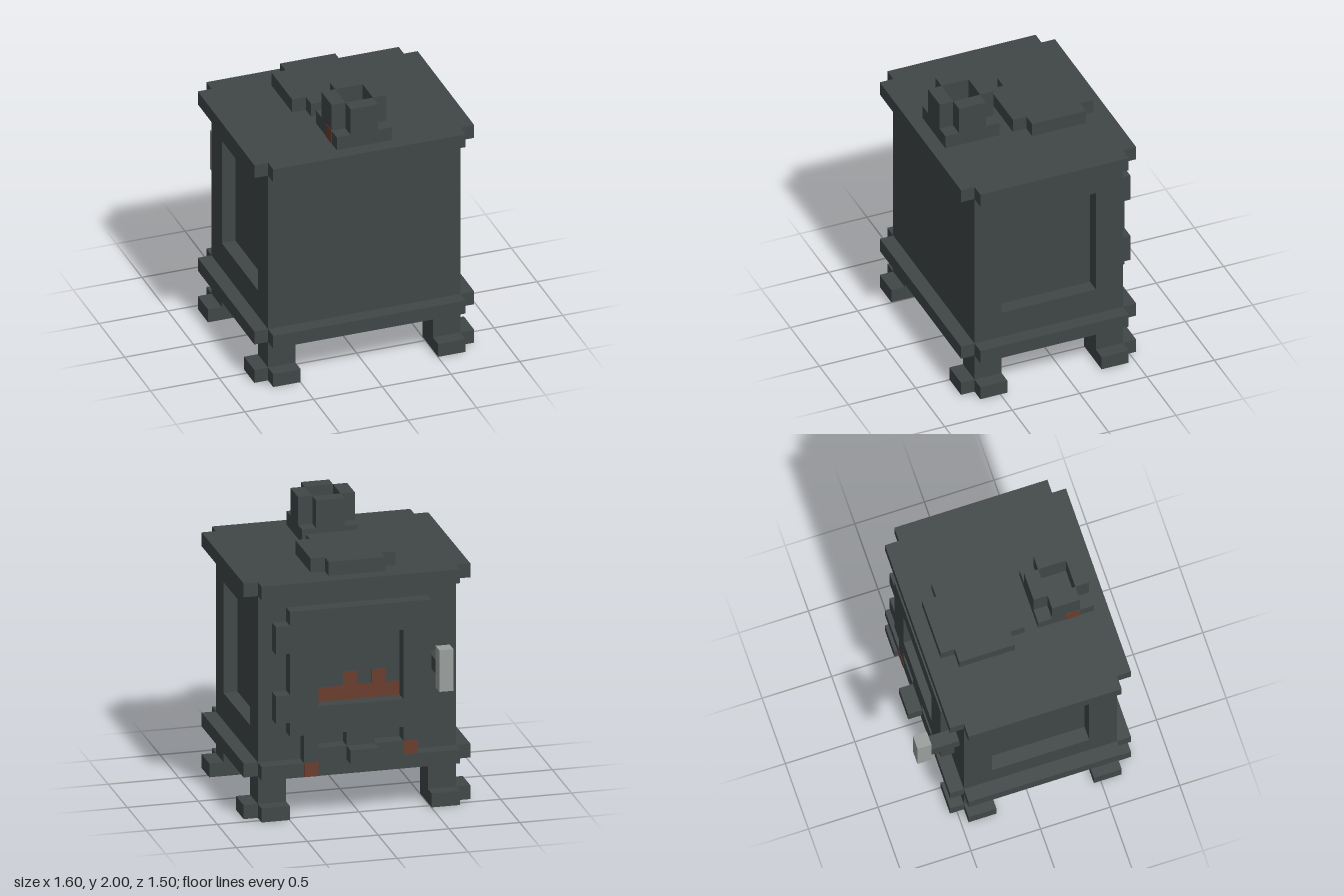
import * as THREE from 'three';

export function createModel() {
  const iron = new THREE.MeshStandardMaterial({ color: 0x404746 });
  iron.name = 'castIron';
  const steel = new THREE.MeshStandardMaterial({ color: 0x9a9f9c });
  steel.name = 'paleSteel';
  const ember = new THREE.MeshStandardMaterial({ color: 0x6b3c2e });
  ember.name = 'emberRust';

  const model = new THREE.Group();
  model.name = 'stove';

  const add = (name, geometry, material = iron) => {
    const mesh = new THREE.Mesh(geometry, material);
    mesh.name = name;
    model.add(mesh);
    return mesh;
  };

  // Box given by its limits on each axis
  const box = (name, [x0, x1], [y0, y1], [z0, z1], material) => {
    const g = new THREE.BoxGeometry(x1 - x0, y1 - y0, z1 - z0);
    g.translate((x0 + x1) / 2, (y0 + y1) / 2, (z0 + z1) / 2);
    return add(name, g, material);
  };

  const points = (list) => list.map(([x, y]) => new THREE.Vector2(x, y));
  const rect = (x0, x1, y0, y1) => [[x0, y0], [x1, y0], [x1, y1], [x0, y1]];

  // Rectangle with a square notch cut from every corner
  const notched = (x0, x1, y0, y1, n = 0.1) => [
    [x0 + n, y0], [x1 - n, y0], [x1 - n, y0 + n], [x1, y0 + n], [x1, y1 - n], [x1 - n, y1 - n],
    [x1 - n, y1], [x0 + n, y1], [x0 + n, y1 - n], [x0, y1 - n], [x0, y0 + n], [x0 + n, y0 + n],
  ];

  const extrude = (outline, holes, depth) => {
    const shape = new THREE.Shape(points(outline));
    shape.holes = holes.map((h) => new THREE.Path(points(h)));
    return new THREE.ExtrudeGeometry(shape, { depth, bevelEnabled: false });
  };

  // Horizontal slab from an outline in x and z
  const slab = (name, outline, y0, y1, holes = []) =>
    add(name, extrude(outline, holes, y1 - y0).rotateX(Math.PI / 2).translate(0, y1, 0));

  // Base and top plates
  slab('basePlate', notched(-0.8, 0.8, -0.55, 0.75), 0.3, 0.4);
  slab('topPlate', notched(-0.8, 0.8, -0.55, 0.75), 1.6, 1.7);

  // Firebox with a framed recess on both sides
  box('firebox', [-0.6, 0.6], [0.4, 1.6], [-0.45, 0.65]);
  for (const x of [-0.7, 0.6]) {
    const frame = extrude(rect(-0.65, 0.45, 0.4, 1.6), [rect(-0.45, 0.25, 0.6, 1.4)], 0.1);
    add('sideFrame', frame.rotateY(Math.PI / 2).translate(x, 0, 0));
  }

  // Legs with L-shaped feet and a rust spot beneath
  for (const sx of [-1, 1]) {
    for (const sz of [-1, 1]) {
      const px = (v) => [Math.min(sx * v[0], sx * v[1]), Math.max(sx * v[0], sx * v[1])];
      const pz = (v) => [0.1 + Math.min(sz * v[0], sz * v[1]), 0.1 + Math.max(sz * v[0], sz * v[1])];
      box('leg', px([0.5, 0.7]), [0, 0.3], pz([0.35, 0.55]));
      box('footSide', px([0.7, 0.8]), [0, 0.1], pz([0.35, 0.55]));
      box('footEnd', px([0.5, 0.7]), [0, 0.1], pz([0.55, 0.65]));
      box('footRust', px([0.6, 0.7]), [-0.003, 0.003], pz([0.45, 0.55]), ember);
    }
  }

  // Door with hinges, window and two vents
  const doorOutline = [
    [-0.5, 0.6], [-0.4, 0.6], [-0.4, 0.4], [0.4, 0.4], [0.4, 0.6], [0.5, 0.6],
    [0.5, 0.7], [0.6, 0.7], [0.6, 0.9], [0.5, 0.9], [0.5, 1.2], [0.6, 1.2],
    [0.6, 1.4], [0.5, 1.4], [0.5, 1.5], [-0.5, 1.5],
  ];
  const doorHoles = [
    rect(-0.3, 0.3, 0.8, 1.3),
    rect(-0.3, -0.1, 0.5, 0.6),
    rect(0.1, 0.3, 0.5, 0.6),
  ];
  add('door', extrude(doorOutline, doorHoles, 0.1).translate(0, 0, -0.55));
  box('ventLedge', [-0.1, 0.1], [0.4, 0.5], [-0.65, -0.55]);

  // Latch and handle
  box('latch', [-0.6, -0.5], [1.0, 1.1], [-0.65, -0.45]);
  box('handle', [-0.6, -0.5], [0.9, 1.2], [-0.75, -0.65], steel);

  // Flames behind the window
  const flame = [
    [-0.3, 0.8], [0.3, 0.8], [0.3, 0.9], [0.1, 0.9], [0.1, 1.0], [0, 1.0], [0, 0.9],
    [-0.1, 0.9], [-0.1, 1.0], [-0.2, 1.0], [-0.2, 0.9], [-0.3, 0.9],
  ];
  add('flames', extrude(flame, [], 0.006).translate(0, 0, -0.454), ember);

  // Rust on the door, base plate and flue
  box('doorRustFront', [-0.4, -0.3], [0.4, 0.5], [-0.553, -0.547], ember);
  box('doorRustSide', [-0.403, -0.397], [0.4, 0.5], [-0.55, -0.45], ember);
  box('baseRust', [0.3, 0.4], [0.3, 0.4], [-0.553, -0.547], ember);
  box('flueRust', [-0.203, -0.197], [1.7, 1.8], [0.45, 0.55], ember);

  // Cooking lid and hollow flue collar
  slab('cookingLid', notched(-0.3, 0.3, -0.45, 0.15), 1.7, 1.8);
  box('flueBase', [-0.2, 0.2], [1.7, 1.8], [0.25, 0.65]);
  // Four walls around the open flue
  for (const s of [-1, 1]) {
    box('flueSideWall', [s * 0.15 - 0.05, s * 0.15 + 0.05], [1.8, 2], [0.35, 0.55]);
    box('flueEndWall', [-0.1, 0.1], [1.8, 2], [0.45 + s * 0.15 - 0.05, 0.45 + s * 0.15 + 0.05]);
  }

  return model;
}
